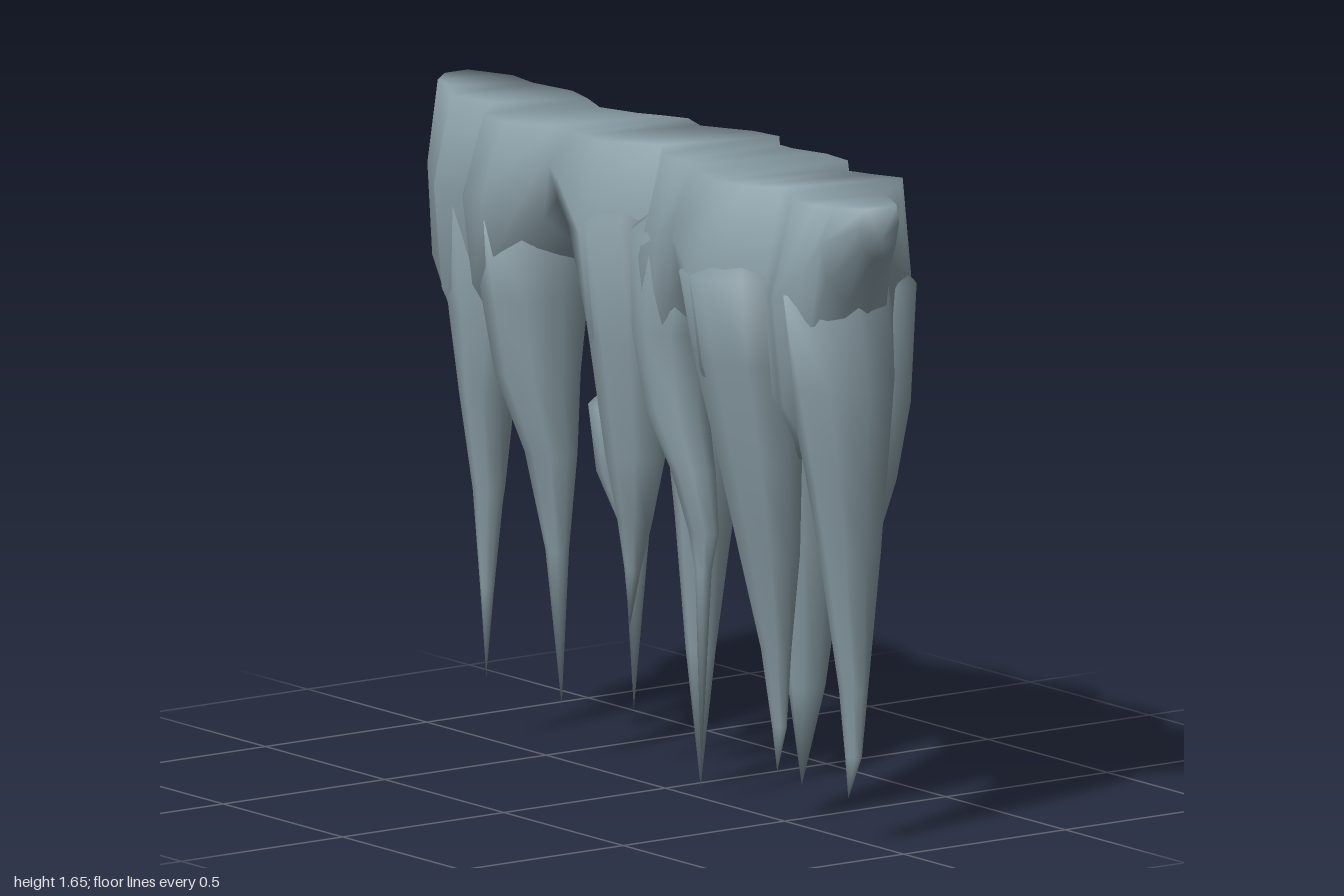
import * as THREE from 'three';

const TOP = 1.65;

// Smooth closed skin through equal-length rings, with a point at each end.
function loft(rings, start, end) {
  const n = rings[0].length, last = rings.length - 1;
  const points = [...rings.flat(), start, end];
  const s = points.length - 2, e = s + 1;
  const index = [];
  for (let j = 0; j < n; j++) {
    const k = (j + 1) % n;
    index.push(s, k, j, e, last * n + j, last * n + k);
    for (let i = 0; i < last; i++) {
      const a = i * n + j, b = i * n + k;
      index.push(a, b, a + n, b, b + n, a + n);
    }
  }
  const geo = new THREE.BufferGeometry();
  geo.setAttribute('position', new THREE.Float32BufferAttribute(points.flat(), 3));
  geo.setIndex(index);
  geo.computeVertexNormals();
  return geo;
}

// Hanging spike. Rows: y, x from, x to, z from, z to. Tip: x, y, z.
function icicle(rows, tip) {
  const sides = 9;
  const rings = rows.map(([y, x0, x1, z0, z1]) =>
    Array.from({ length: sides }, (_, j) => {
      const a = (j / sides) * Math.PI * 2;
      return [
        (x0 + x1) / 2 + Math.cos(a) * (x1 - x0) / 2, y,
        (z0 + z1) / 2 + Math.sin(a) * (z1 - z0) / 2,
      ];
    }));
  const [y, x0, x1, z0, z1] = rows[0];
  return loft(rings, [(x0 + x1) / 2, y + 0.1, (z0 + z1) / 2], tip);
}

// Upper ice sheet. Stations: x, front z, back z, height of lower edge.
function iceSheet() {
  const stations = [
    [-0.985, -0.03, -0.12, 1.2], [-0.93, 0.05, -0.15, 1.06], [-0.86, 0.08, -0.18, 1.0],
    [-0.76, 0.155, -0.17, 1.0], [-0.62, 0.12, -0.19, 1.0], [-0.52, 0.245, -0.17, 1.08],
    [-0.42, 0.25, -0.13, 1.2], [-0.31, 0.17, -0.16, 1.34], [-0.24, 0.185, -0.2, 1.42],
    [-0.18, 0.2, -0.23, 1.35], [-0.09, 0.2, -0.2, 1.0], [0.04, 0.1, -0.265, 0.92],
    [0.13, 0.18, -0.285, 0.93], [0.21, 0.18, -0.22, 1.15], [0.27, 0.175, -0.22, 1.25],
    [0.37, 0.25, -0.255, 1.2], [0.47, 0.275, -0.25, 1.0], [0.56, 0.24, -0.165, 0.95],
    [0.64, 0.17, -0.19, 0.95], [0.72, 0.21, -0.23, 0.93], [0.79, 0.25, -0.17, 0.96],
    [0.86, 0.215, -0.06, 1.15], [0.91, 0.19, -0.04, 1.4], [0.98, 0.12, 0.0, 1.52],
  ];
  const rings = stations.map(([x, zf, zb, yb]) => {
    const mid = (zf + zb) / 2, half = (zf - zb) / 2;
    const at = (drop, k) => [x, TOP - (TOP - yb) * drop, mid + half * k];
    return [
      at(0, 0.68), at(0.35, 1), at(0.75, 0.85), at(1, 0.3),
      at(1, -0.3), at(0.75, -0.85), at(0.35, -1), at(0, -0.88),
    ];
  });
  return loft(rings, [-1, 1.4, -0.09], [1, 1.57, 0.07]);
}

export function createModel() {
  const group = new THREE.Group();
  const ice = new THREE.MeshStandardMaterial({ color: 0x8a9ea6 });
  ice.name = 'iceGrey';

  const add = (name, geo) => {
    const mesh = new THREE.Mesh(geo, ice);
    mesh.name = name;
    group.add(mesh);
  };

  add('iceSheet', iceSheet());

  // Right end cluster
  add('rightEndIcicle', icicle([
    [1.4, -0.98, -0.7, -0.17, 0.05], [1.15, -0.95, -0.72, -0.17, 0.05], [0.98, -0.9, -0.77, -0.16, 0],
    [0.8, -0.89, -0.79, -0.14, -0.03], [0.62, -0.88, -0.81, -0.12, -0.06],
  ], [-0.845, 0.46, -0.1]));
  add('rightFrontIcicle', icicle([
    [1.4, -0.86, -0.6, -0.1, 0.14], [1.1, -0.8, -0.6, -0.08, 0.13], [0.9, -0.76, -0.64, -0.04, 0.11],
    [0.65, -0.74, -0.66, -0.01, 0.07], [0.4, -0.72, -0.69, 0.01, 0.05],
  ], [-0.71, 0.17, 0.03]));
  add('rightBackIcicle', icicle([
    [1.4, -0.75, -0.5, -0.19, 0], [1.05, -0.68, -0.53, -0.18, -0.02], [0.8, -0.66, -0.55, -0.15, -0.05],
    [0.6, -0.63, -0.56, -0.13, -0.07], [0.42, -0.61, -0.57, -0.115, -0.085],
  ], [-0.58, 0.37, -0.1]));
  add('archRightIcicle', icicle([
    [1.4, -0.58, -0.34, -0.11, 0.24], [1.2, -0.56, -0.33, -0.08, 0.22], [1, -0.53, -0.33, -0.04, 0.19],
    [0.8, -0.46, -0.32, 0, 0.13], [0.55, -0.415, -0.355, 0.02, 0.08],
  ], [-0.38, 0.15, 0.04]));

  // Narrow column behind the arch, widening into a bridge
  add('archBackIcicle', icicle([
    [1.45, -0.32, -0.14, -0.22, 0], [1.2, -0.29, -0.19, -0.2, -0.04], [1.0, -0.29, -0.2, -0.17, -0.04],
    [0.93, -0.34, -0.185, -0.17, 0.03], [0.76, -0.32, -0.2, -0.14, 0.01], [0.6, -0.265, -0.205, -0.12, -0.05],
  ], [-0.24, 0.15, -0.08]));

  // Middle cluster
  add('middleFrontIcicle', icicle([
    [1.45, -0.22, 0.05, -0.08, 0.2], [1.15, -0.165, 0.05, -0.05, 0.17], [0.85, -0.13, 0.03, -0.02, 0.13],
    [0.68, -0.11, -0.02, 0, 0.09], [0.55, -0.105, -0.06, 0.02, 0.06],
  ], [-0.095, 0.4, 0.04]));
  add('middleBackIcicle', icicle([
    [1.42, -0.1, 0.22, -0.275, 0.08], [1.18, -0.08, 0.2, -0.28, 0.05], [0.95, -0.05, 0.15, -0.24, 0.02],
    [0.7, -0.02, 0.1, -0.18, -0.01], [0.35, 0, 0.07, -0.125, -0.045],
  ], [0.04, 0, -0.08]));
  add('middleThinIcicle', icicle([
    [1.45, 0, 0.3, -0.05, 0.18], [1.2, 0.02, 0.23, -0.02, 0.17], [1.0, 0.06, 0.24, 0, 0.15],
    [0.85, 0.15, 0.265, 0.01, 0.12], [0.7, 0.19, 0.28, 0.02, 0.09], [0.6, 0.205, 0.25, 0.03, 0.07],
  ], [0.225, 0.08, 0.055]));

  // Left cluster
  add('leftBackIcicle', icicle([
    [1.42, 0.27, 0.62, -0.26, 0.05], [1.18, 0.27, 0.58, -0.27, 0.05], [0.95, 0.32, 0.54, -0.26, 0],
    [0.7, 0.35, 0.51, -0.235, -0.03], [0.32, 0.39, 0.47, -0.175, -0.07],
  ], [0.41, 0.06, -0.12]));
  add('leftFrontIcicle', icicle([
    [1.42, 0.33, 0.67, -0.02, 0.285], [1.2, 0.36, 0.66, 0, 0.25], [0.95, 0.41, 0.65, 0, 0.2],
    [0.7, 0.44, 0.62, 0, 0.14], [0.45, 0.48, 0.57, 0.01, 0.08], [0.25, 0.5, 0.55, 0.02, 0.05],
  ], [0.51, 0.13, 0.03]));
  add('leftShortIcicle', icicle([
    [1.4, 0.58, 0.84, -0.22, 0], [1.1, 0.6, 0.84, -0.2, 0.02], [0.9, 0.64, 0.8, -0.17, 0],
    [0.76, 0.66, 0.76, -0.13, -0.03], [0.65, 0.675, 0.725, -0.1, -0.06],
  ], [0.695, 0.43, -0.08]));
  add('leftEndIcicle', icicle([
    [1.42, 0.7, 0.9, -0.1, 0.24], [1.18, 0.73, 0.945, -0.08, 0.22], [0.95, 0.77, 0.935, -0.05, 0.18],
    [0.75, 0.785, 0.92, -0.03, 0.14], [0.4, 0.81, 0.89, 0.01, 0.08], [0.23, 0.825, 0.88, 0.03, 0.065],
  ], [0.835, 0.12, 0.05]));

  return group;
}
